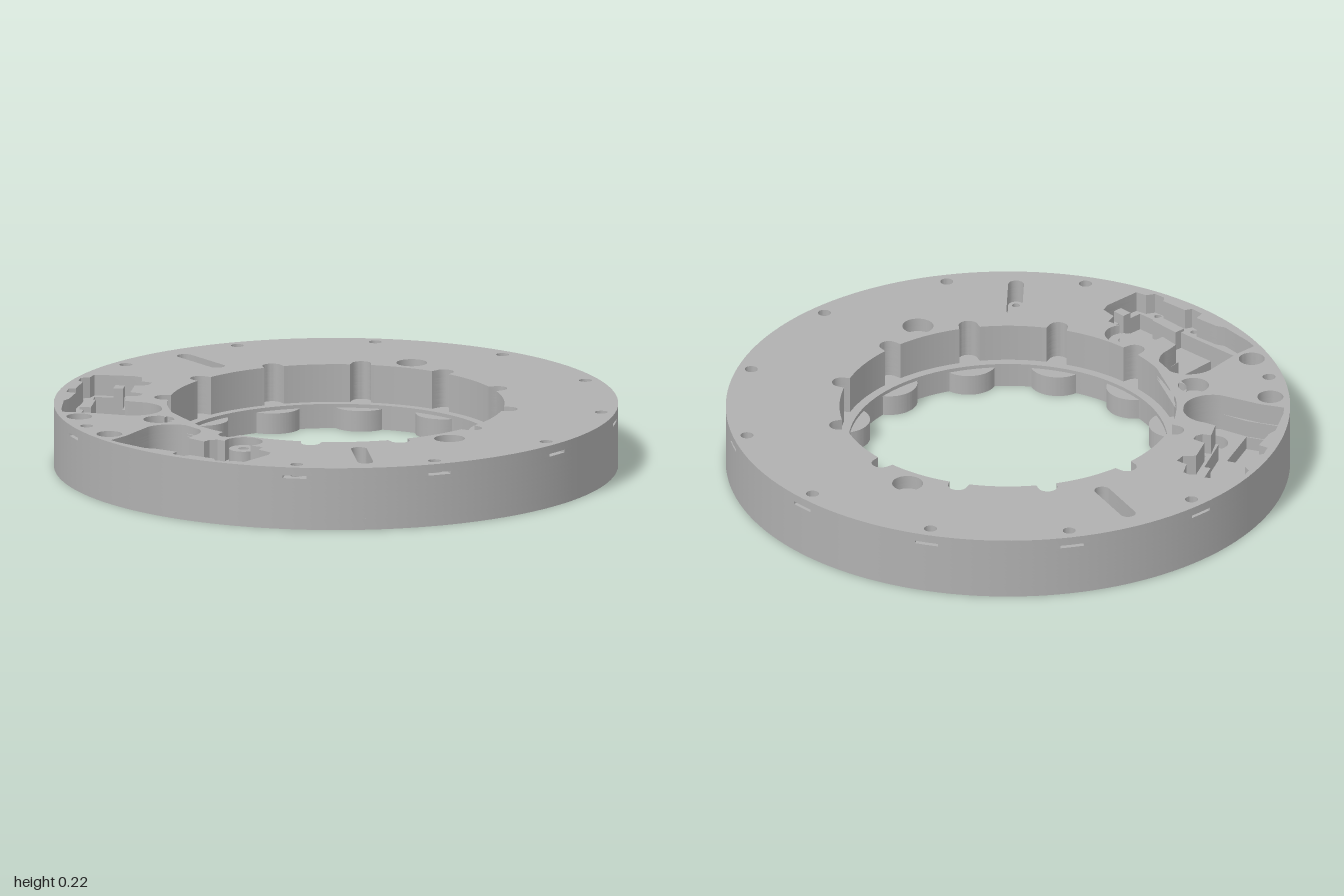
import * as THREE from 'three';
import { mergeGeometries, toCreasedNormals } from 'three/addons/utils/BufferGeometryUtils.js';

const TOP = 0.225, RAD = Math.PI / 180;

// Plan-view helpers: every outline is a list of [x, z]
const arc = (cx, cz, r, a0, a1, n) => Array.from({ length: n + 1 }, (_, i) => {
  const a = (a0 + (a1 - a0) * i / n) * RAD;
  return [cx + r * Math.cos(a), cz + r * Math.sin(a)];
});
const circle = (cx, cz, r, n = 32) => arc(cx, cz, r, 0, 360 * (n - 1) / n, n - 1);
const polar = (deg, r) => [r * Math.sin(deg * RAD), r * Math.cos(deg * RAD)];
const capsule = ([x0, z0], [x1, z1], r) => {
  const d = Math.atan2(z1 - z0, x1 - x0) / RAD;
  return [...arc(x0, z0, r, d + 90, d + 270, 12), ...arc(x1, z1, r, d - 90, d + 90, 12)];
};
// Local rectangle: x across, y along the radius, turned to an angle from the front
const turned = (deg, pts) => pts.map(([x, r]) => {
  const s = Math.sin(deg * RAD), c = Math.cos(deg * RAD);
  return [x * c + r * s, r * c - x * s];
});
// Reflection that swaps the two actuator pockets
const flip = ([x, z]) => {
  const k = 2 * (-0.5 * x + 0.866 * z);
  return [-0.5 * k - x, 0.866 * k - z];
};

const toVectors = pts => pts.map(([x, z]) => new THREE.Vector2(x, -z));
function prism(outline, holes, y0, y1) {
  const shape = new THREE.Shape(toVectors(outline));
  shape.holes = holes.map(h => new THREE.Path(toVectors(h)));
  const g = new THREE.ExtrudeGeometry(shape, { depth: y1 - y0, bevelEnabled: false });
  g.rotateX(-Math.PI / 2).translate(0, y0, 0);
  return toCreasedNormals(g, 0.5);
}

// Bore outline at a height: round bosses low down, plain lip, then a wider wall with round notches
function bore(y) {
  const n = 600;
  return Array.from({ length: n }, (_, i) => {
    const a = 360 * i / n, p = (((a + 15) % 30) - 15) * RAD;
    const reach = R => R * R - (0.615 * Math.sin(p)) ** 2;
    let r = y < 0.088 ? 0.565 : 0.597;
    if (y < 0.075 && reach(0.1) > 0) r = Math.min(r, 0.615 * Math.cos(p) - Math.sqrt(reach(0.1)));
    if (y > 0.088 && reach(0.035) > 0) r = Math.max(r, 0.615 * Math.cos(p) + Math.sqrt(reach(0.035)));
    return polar(a, r);
  });
}

// Outer outline, optionally with the thin nut slots
const mounts = [30, 60, 90, 120, 150, 180, 210, 240, 270, 330];
function rim(slotted) {
  const pts = [], w = 0.043, edge = Math.sqrt(1 - w * w);
  for (let a = 0; a < 360; a += 2.5) {
    const m = mounts.find(k => Math.abs(a - k) < 2.6);
    if (!slotted || m === undefined) pts.push(polar(a, 1));
    else if (a === m) pts.push(...turned(m, [[-w, edge], [-w, 0.9], [w, 0.9], [w, edge]]));
  }
  return pts;
}

export function createModel() {
  const model = new THREE.Group();
  const grey = new THREE.MeshStandardMaterial({ color: 0xb0b0b0 });
  grey.name = 'matte grey';
  const add = (name, geometry) => {
    const mesh = new THREE.Mesh(geometry, grey);
    mesh.name = name;
    model.add(mesh);
  };

  const cuts = [];
  const cut = (pts, y0, y1 = TOP) => cuts.push({ pts, y0, y1 });

  // Underside: magnet recesses, shaft recesses, scale marks
  for (let a = 0; a < 360; a += 30) cut(circle(...polar(a, 0.615), 0.093), 0, 0.01);
  cut(circle(-0.19, 0.7, 0.07), 0, 0.01);
  cut(circle(...flip([-0.19, 0.7]), 0.07), 0, 0.01);
  for (let a = 4; a <= 304; a += 3) {
    cut(turned(a, [[-0.006, 0.88], [0.006, 0.88], [0.006, 0.985], [-0.006, 0.985]]), 0, 0.01);
  }

  // Rim screw holes, interrupted by the nut slots
  for (const a of mounts) {
    cut(circle(...polar(a, 0.95), 0.023, 20), 0.12, 0.185);
    cut(circle(...polar(a, 0.95), 0.023, 20), 0.195);
  }

  // Counterbored holes
  const counterbore = ([x, z], r, inner) => {
    cut(circle(x, z, r), 0.175);
    cut(circle(x, z, inner, 20), 0.05, 0.175);
  };
  for (const a of [-30, 75, 195]) counterbore(polar(a, 0.675), 0.055, 0.022);

  // Cable slots
  for (const [a, b] of [[[-0.87, -0.235], [-0.685, -0.185]], [[0.5, 0.5], [0.64, 0.64]]]) {
    cut(capsule(a, b, 0.028), 0.14);
    for (const p of [a, b]) cut(circle(...p, 0.014, 16), 0.06, 0.14);
  }

  // Two mirrored actuator pockets; the first also opens into a gear well
  const ribs = [];
  for (const mirrored of [false, true]) {
    const place = pts => (mirrored ? pts.map(flip) : pts);
    const shaft = arc(-0.19, 0.7, 0.105, 180, 360, 24);
    const well = mirrored ? [[0.06, 0.745], [0.16, 0.745], [0.175, 0.7]] : arc(0.11, 0.665, 0.067, 150, 390, 28);
    cut(place([[-0.28, 0.8], ...shaft, [-0.075, 0.745], [0, 0.752], [0, 0.72], [0.02, 0.7], [0.045, 0.7],
      ...well, [0.215, 0.69], [0.23, 0.73], [0.29, 0.737], [0.305, 0.77], [0.305, 0.91], [0.265, 0.92],
      [0.25, 0.95], [0.21, 0.955], [0.19, 0.935], [0.09, 0.945], [0.08, 0.97], [0.03, 0.97], [0.02, 0.935],
      [-0.07, 0.945], [-0.1, 0.96], [-0.23, 0.95], [-0.272, 0.94], [-0.272, 0.85]]), 0.15);
    cut(place([[-0.27, 0.8], ...shaft, [-0.075, 0.757], [0.28, 0.757], [0.28, 0.905], [0, 0.92], [-0.265, 0.94]]),
      0.088, 0.15);
    // Deep motor seat and shaft hole
    cut(place([[-0.265, 0.802], [-0.075, 0.788], [-0.065, 0.925], [-0.26, 0.937]]), 0.04, 0.088);
    cut(place(circle(-0.19, 0.7, 0.055)), 0.04, 0.088);
    // Screw pad holes
    for (const [x, z] of [[0.05, 0.951], [0.222, 0.937], [0.2, 0.715], [0.028, 0.726]]) {
      cut(place(circle(x, z, 0.013, 16)), 0.1, 0.15);
    }
    counterbore(place([[-0.335, 0.87]])[0], 0.046, 0.014);
    // Raised locating ribs on the pocket floor
    for (const [x0, z0, x1, z1, h] of [[0.255, 0.8, 0.304, 0.835, 0.19], [0.1, 0.757, 0.2, 0.78, 0.15],
      [0.08, 0.89, 0.2, 0.93, 0.16]]) {
      ribs.push(prism(place([[x0, z0], [x1, z0], [x1, z1], [x0, z1]]), [], 0.088, h));
    }
  }

  // Ring body stacked from slabs between every change of section
  const levels = [...new Set([0, 0.075, 0.088, 0.185, 0.195, TOP, ...cuts.flatMap(c => [c.y0, c.y1])])].sort((a, b) => a - b);
  const slabs = [];
  for (let i = 0; i < levels.length - 1; i++) {
    const y0 = levels[i], y1 = levels[i + 1], mid = (y0 + y1) / 2;
    const holes = cuts.filter(c => c.y0 < mid && c.y1 > mid).map(c => c.pts);
    slabs.push(prism(rim(mid > 0.185 && mid < 0.195), [bore(mid), ...holes], y0, y1));
  }
  add('ringBody', mergeGeometries(slabs));
  add('pocketRibs', mergeGeometries(ribs));
  add('gearPost', prism(circle(0.11, 0.665, 0.052), [circle(0.11, 0.665, 0.02, 20)], 0.15, 0.2));
  return model;
}
